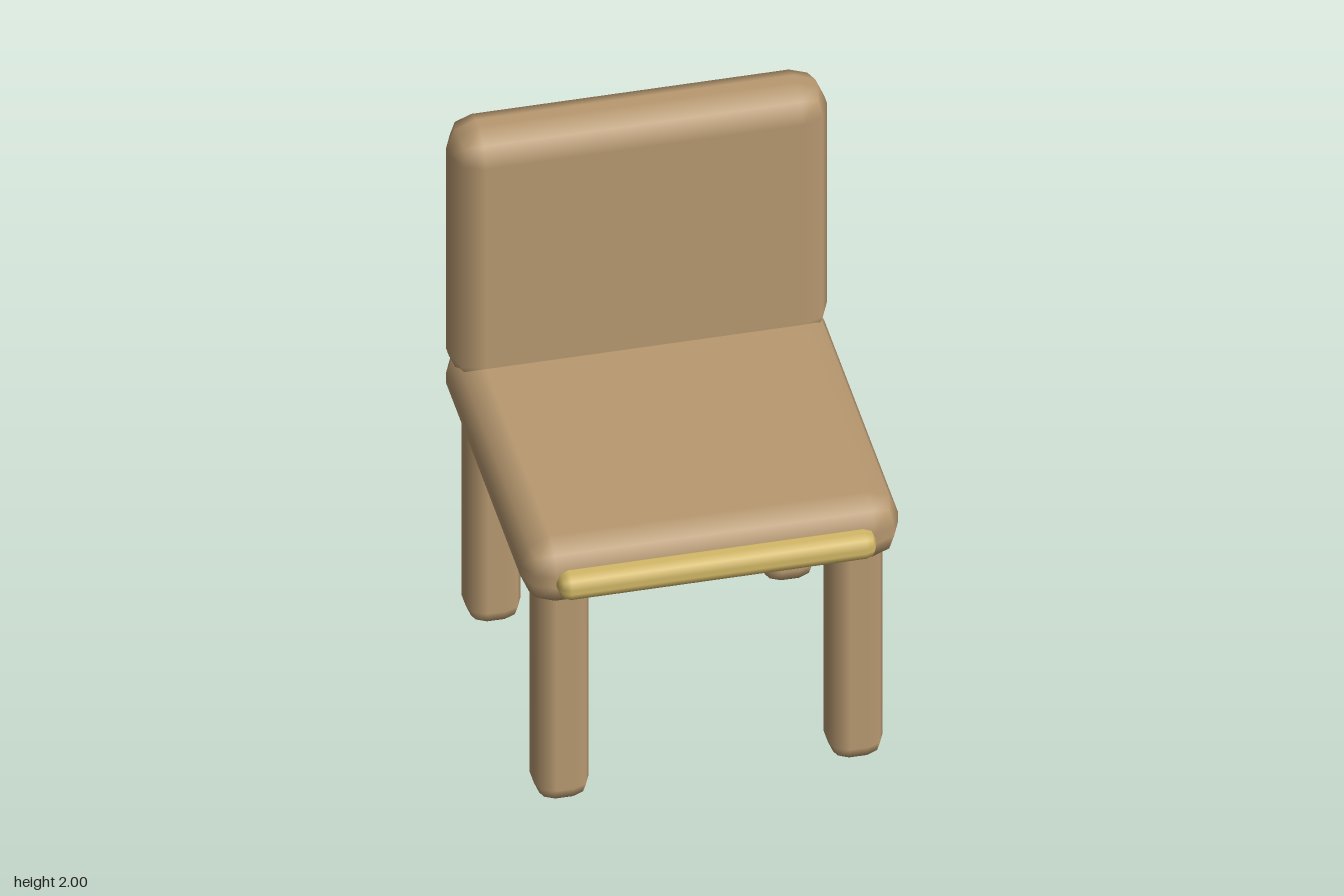
import * as THREE from 'three';

// Box with two-step rounded edges, spanning the given min and max corners.
function softBox(min, max, radius) {
  const geometry = new THREE.BoxGeometry(3, 3, 3, 3, 3, 3);
  const position = geometry.attributes.position;
  const normal = geometry.attributes.normal;
  const dir = new THREE.Vector3();
  for (let i = 0; i < position.count; i++) {
    const p = [position.getX(i), position.getY(i), position.getZ(i)];
    // outer grid lines lean outward, inner ones stay on the flat faces
    dir.set(...p.map((v) => (Math.abs(v) > 1 ? Math.sign(v) : 0))).normalize();
    const n = dir.toArray();
    const q = p.map((v, k) => (v > 0 ? max[k] - radius : min[k] + radius) + n[k] * radius);
    position.setXYZ(i, ...q);
    normal.setXYZ(i, ...n);
  }
  return geometry;
}

export function createModel() {
  const wood = new THREE.MeshStandardMaterial({ color: 0xb99a71 });
  wood.name = 'tan wood';
  const gold = new THREE.MeshStandardMaterial({ color: 0xd4b968 });
  gold.name = 'gold trim';

  const model = new THREE.Group();
  model.name = 'chair';
  const add = (name, material, min, max, radius) => {
    const mesh = new THREE.Mesh(softBox(min, max, radius), material);
    mesh.name = name;
    model.add(mesh);
  };

  // Seat cushion and backrest
  add('seat', wood, [-0.637, 0.833, -0.667], [0.637, 1.077, 0.609], 0.102);
  add('backrest', wood, [-0.637, 0.975, -0.667], [0.637, 2, -0.424], 0.102);

  // Bar along the front edge of the seat
  add('frontTrim', gold, [-0.537, 0.904, 0.567], [0.537, 1, 0.667], 0.04);

  // Four legs, their tops set into the seat
  for (const [side, x] of [['left', 0.495], ['right', -0.495]]) {
    for (const [end, z] of [['Front', 0.465], ['Back', -0.525]]) {
      add(`${side}${end}Leg`, wood, [x - 0.092, 0, z - 0.092], [x + 0.092, 0.95, z + 0.092], 0.062);
    }
  }
  return model;
}
